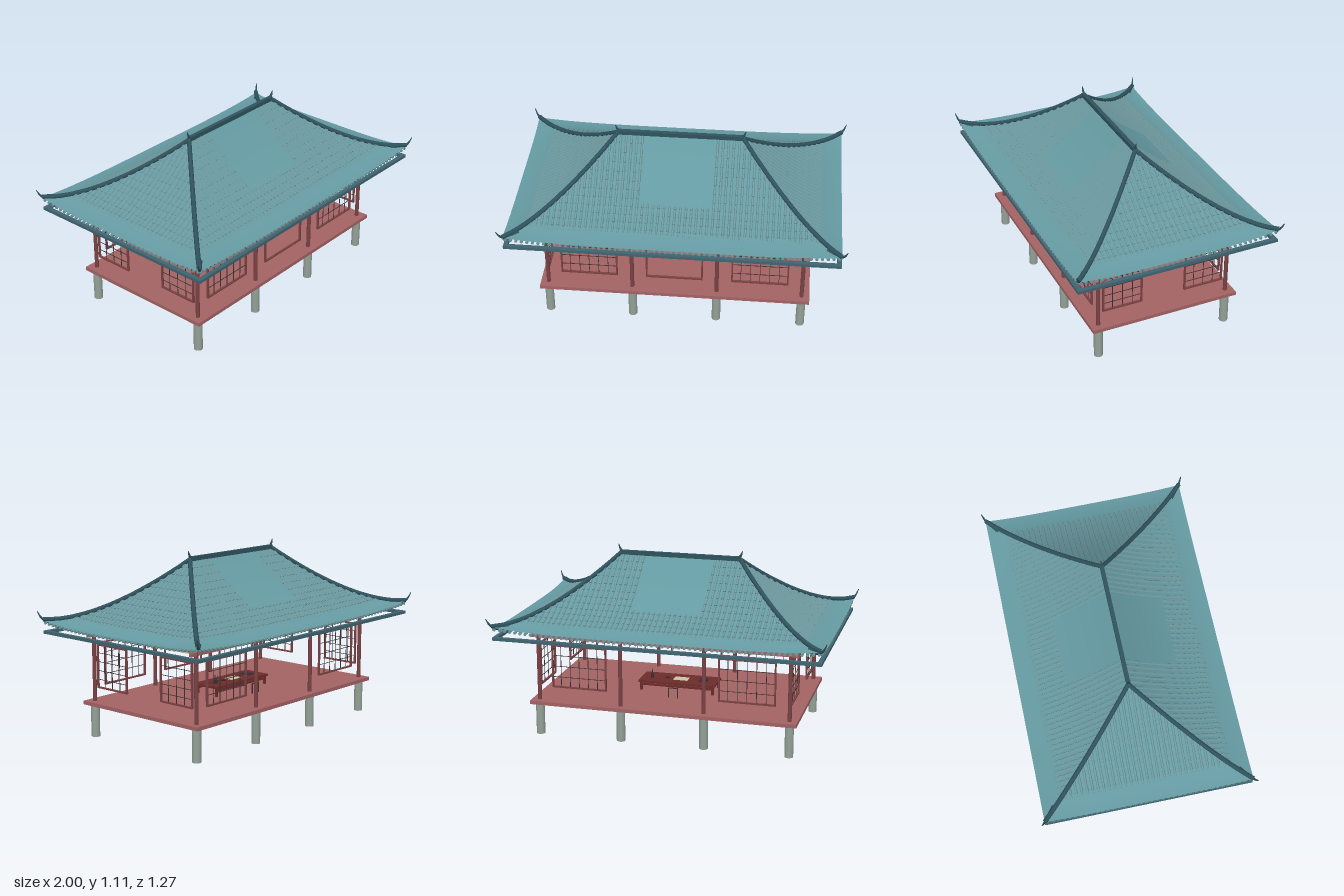
import * as THREE from 'three';

const mat = (color, extra = {}) => new THREE.MeshStandardMaterial({ color, ...extra });
const M = {
  roof: mat(0x659aa2, { side: THREE.DoubleSide }),
  tile: mat(0x6c979c, { side: THREE.DoubleSide, flatShading: true }),
  ridge: mat(0x2f525c),
  frame: mat(0x3f6470),
  floor: mat(0xa26264),
  wood: mat(0x7a4243),
  table: mat(0x6b2c2a),
  stone: mat(0x93a096),
  cream: mat(0xc9c4a4),
  dark: mat(0x3a3032),
};

function add(parent, name, geo, material, x = 0, y = 0, z = 0) {
  const mesh = new THREE.Mesh(geo, material);
  mesh.name = name;
  mesh.position.set(x, y, z);
  parent.add(mesh);
  return mesh;
}
const box = (p, name, m, w, h, d, x, y, z) => add(p, name, new THREE.BoxGeometry(w, h, d), m, x, y, z);
const group = (parent, name) => {
  const g = new THREE.Group();
  g.name = name;
  parent.add(g);
  return g;
};
function meshGeometry(pos, idx) {
  const g = new THREE.BufferGeometry();
  g.setAttribute('position', new THREE.Float32BufferAttribute(pos, 3));
  g.setIndex(idx);
  g.computeVertexNormals();
  return g;
}

// Tube whose radius runs from r0 to r1
function taperedTube(points, r0, r1, seg = 16, sides = 8) {
  const curve = new THREE.CatmullRomCurve3(points.map(p => new THREE.Vector3(...p)));
  const geo = new THREE.TubeGeometry(curve, seg, 1, sides);
  const pos = geo.attributes.position, v = new THREE.Vector3();
  for (let i = 0; i < pos.count; i++) {
    const t = Math.floor(i / (sides + 1)) / seg, c = curve.getPointAt(t);
    v.fromBufferAttribute(pos, i).sub(c).multiplyScalar(r0 + (r1 - r0) * t).add(c);
    pos.setXYZ(i, v.x, v.y, v.z);
  }
  return geo;
}

// Roof height: t runs from ridge (0) to eave (1), u from hip to hip (-1..1)
const roofY = (t, u) => 0.68 + 0.37 * Math.pow(1 - t, 1.6) + 0.025 * u ** 4 * t ** 4;
const RIDGE = 0.37, EAVE_X = 0.97, EAVE_Z = 0.615;

// Curved sheet of one roof slope
function slopeSheet(s) {
  const rows = 18, cols = 24, pos = [], idx = [];
  for (let i = 0; i <= rows; i++) for (let j = 0; j <= cols; j++) {
    const t = i / rows, u = j / cols * 2 - 1;
    pos.push(u * (s.w0 + (s.w1 - s.w0) * t), roofY(t, u), s.d0 + (s.d1 - s.d0) * t);
    if (i < rows && j < cols) {
      const a = i * (cols + 1) + j, c = a + cols + 1;
      idx.push(a, c, a + 1, a + 1, c, c + 1);
    }
  }
  return meshGeometry(pos, idx);
}

// Rows of overlapping round tiles, each flaring towards the eave
function slopeTiles(s) {
  const pos = [], idx = [], sides = 6, steps = 14;
  const count = Math.round(s.w1 * 2 / 0.032);
  for (let k = 0; k < count; k++) {
    const x = ((k + 0.5) / count * 2 - 1) * s.w1;
    const t0 = Math.max(0, (Math.abs(x) - s.w0) / (s.w1 - s.w0));
    const rings = [];
    for (let i = 0; i < steps; i++) {
      const a = Math.max(t0, i / steps), b = (i + 1) / steps;
      if (b > t0) rings.push([a, 0.006], [b, 0.0095]);
    }
    rings.push([1, 0.0005]);
    const start = pos.length / 3;
    rings.forEach(([t, r], i) => {
      const u = Math.min(1, Math.abs(x) / (s.w0 + (s.w1 - s.w0) * t || 1));
      const slope = 0.592 * Math.pow(1 - t, 0.6) / (s.d1 - s.d0);
      const n = 1 / Math.hypot(1, slope);
      // tiles lie below the smooth eave border and the bare middle of the long slopes
      const sunk = t > 0.83 || (s.w0 > 0 && Math.abs(x) < 0.2 && t < 0.52);
      const y = roofY(t, u) + (sunk ? -0.012 : 0);
      const z = s.d0 + (s.d1 - s.d0) * t;
      for (let j = 0; j < sides; j++) {
        const a = j / sides * Math.PI * 2, h = r * Math.sin(a);
        pos.push(x + r * Math.cos(a), y + h * n, z + h * n * slope);
        if (i < rings.length - 1) {
          const p = start + i * sides + j, q = start + i * sides + (j + 1) % sides;
          idx.push(p, q, q + sides, p, q + sides, p + sides);
        }
      }
    });
  }
  return meshGeometry(pos, idx);
}

function buildRoof(parent) {
  const roof = group(parent, 'roof');
  const long = { w0: RIDGE, w1: EAVE_X, d0: 0, d1: EAVE_Z };
  const short = { w0: 0, w1: EAVE_Z, d0: RIDGE, d1: EAVE_X };
  [long, short, long, short].forEach((s, i) => {
    const side = group(roof, 'roofSlope');
    side.rotation.y = i * Math.PI / 2;
    add(side, 'roofSheet', slopeSheet(s), M.roof);
    add(side, 'roofTiles', slopeTiles(s), M.tile);
    // square frame hung below the eaves
    box(side, 'eaveFrame', M.frame, s.w1 * 2, 0.018, 0.026, 0, 0.634, s.d1 - 0.013);
  });
  box(roof, 'mainRidge', M.ridge, RIDGE * 2, 0.026, 0.024, 0, 1.058, 0);
  for (const sx of [-1, 1]) {
    add(roof, 'ridgeHorn', taperedTube([[sx * 0.34, 1.05, 0], [sx * 0.362, 1.062, 0],
      [sx * 0.374, 1.08, 0], [sx * 0.385, 1.107, 0]], 0.014, 0.002), M.ridge);
    for (const sz of [-1, 1]) {
      const path = [];
      for (let t = 0; t <= 1.001; t += 0.1)
        path.push([sx * (RIDGE + (EAVE_X - RIDGE) * t), roofY(t, 1) + 0.006, sz * EAVE_Z * t]);
      add(roof, 'hipRidge', taperedTube(path, 0.013, 0.014, 30), M.ridge);
      add(roof, 'cornerHorn', taperedTube([[sx * 0.89, 0.695, sz * 0.545], [sx * 0.95, 0.698, sz * 0.598],
        [sx * 0.98, 0.722, sz * 0.62], [sx * 0.998, 0.76, sz * 0.633]], 0.018, 0.002), M.ridge);
    }
  }
}

// Latticed window in the xy plane, centred on the origin
function buildWindow(parent, w, x, z, turn, bars = 5, rails = 3) {
  const g = group(parent, 'window'), h = 0.265;
  g.position.set(x, 0.432, z);
  g.rotation.y = turn;
  for (const s of [-1, 1]) {
    box(g, 'windowStile', M.wood, 0.009, h, 0.012, s * (w / 2 - 0.0045), 0, 0);
    box(g, 'windowRail', M.wood, w, 0.009, 0.012, 0, s * (h / 2 - 0.0045), 0);
  }
  for (let i = 1; i <= bars; i++)
    box(g, 'latticeBar', M.dark, 0.003, h, 0.003, (i / (bars + 1) - 0.5) * w, 0, 0);
  for (let i = 1; i <= rails; i++)
    box(g, 'latticeRail', M.dark, w, 0.003, 0.003, 0, (i / (rails + 1) - 0.5) * h, 0);
}

function buildTable(parent) {
  const t = group(parent, 'table');
  box(t, 'tableTop', M.table, 0.48, 0.012, 0.18, 0, 0.274, 0);
  for (const s of [-1, 1]) {
    box(t, 'tableApron', M.table, 0.45, 0.014, 0.008, 0, 0.254, s * 0.075);
    box(t, 'tableStretcher', M.table, 0.01, 0.01, 0.15, s * 0.225, 0.19, 0);
    for (const q of [-1, 1]) box(t, 'tableLeg', M.table, 0.014, 0.105, 0.012, s * 0.225, 0.217, q * 0.075);
  }
  // writing things on the table
  add(t, 'brushPot', new THREE.CylinderGeometry(0.01, 0.009, 0.026, 10), M.dark, 0.17, 0.293, -0.02);
  for (let i = -1; i <= 1; i++) {
    const b = add(t, 'brush', new THREE.CylinderGeometry(0.0015, 0.0015, 0.045, 5), M.dark, 0.17 + i * 0.004, 0.312, -0.02 + i * 0.006);
    b.rotation.x = i * 0.25;
  }
  add(t, 'inkDish', new THREE.CylinderGeometry(0.015, 0.012, 0.007, 12), M.dark, 0.08, 0.283, 0);
  box(t, 'paper', M.cream, 0.09, 0.003, 0.06, -0.01, 0.281, 0);
  box(t, 'book', M.dark, 0.05, 0.008, 0.06, -0.15, 0.284, 0);
  // small rack standing behind the table
  const r = group(parent, 'rack');
  for (const x of [-0.035, 0.022]) {
    box(r, 'rackPost', M.dark, 0.005, 0.115, 0.005, x, 0.222, -0.183);
    box(r, 'rackFoot', M.dark, 0.005, 0.03, 0.005, x, 0.178, -0.137);
  }
  box(r, 'rackBar', M.dark, 0.062, 0.005, 0.005, -0.006, 0.278, -0.183);
}

export function createModel() {
  const model = new THREE.Group();
  model.name = 'pavilion';
  box(model, 'floor', M.floor, 1.62, 0.022, 0.915, 0, 0.206, 0);
  box(model, 'ceiling', M.cream, 1.55, 0.006, 0.8, 0, 0.614, 0);
  for (const s of [-1, 1]) {
    // stilts, posts and beams along the front and back
    for (const x of [-0.763, -0.254, 0.254, 0.763]) {
      add(model, 'stilt', new THREE.CylinderGeometry(0.026, 0.026, 0.196, 16), M.stone, x, 0.098, s * 0.408);
      add(model, 'post', new THREE.CylinderGeometry(0.012, 0.012, 0.41, 12), M.wood, x, 0.42, s * 0.408);
    }
    box(model, 'longBeam', M.floor, 1.62, 0.02, 0.022, 0, 0.615, s * 0.408);
    box(model, 'sideBeam', M.floor, 0.018, 0.012, 0.8, s * 0.763, 0.617, 0);
    for (const q of [-1, 1]) {
      buildWindow(model, 0.34, q * 0.51, s * 0.408, 0);
      buildWindow(model, 0.248, s * 0.763, q * 0.257, Math.PI / 2, 3, 4);
    }
  }
  buildWindow(model, 0.34, 0, 0.408, 0, 0, 0);
  buildTable(model);
  buildRoof(model);
  return model;
}
